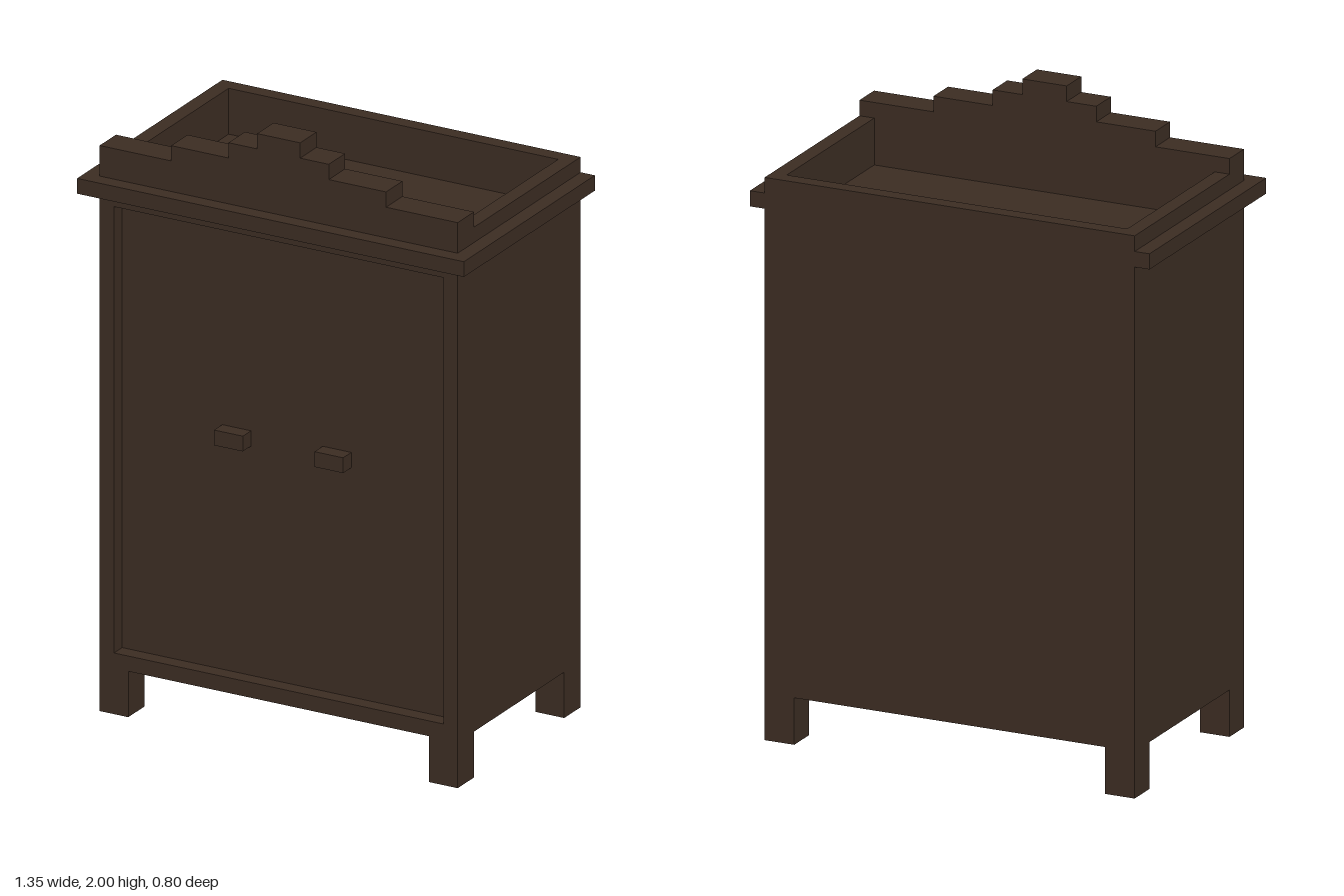
import * as THREE from 'three';

export function createModel() {
  const model = new THREE.Group();
  model.name = 'wardrobe';
  const wood = new THREE.MeshStandardMaterial({ color: 0x3b2c22 });
  wood.name = 'dark wood';

  function add(name, geometry) {
    const mesh = new THREE.Mesh(geometry, wood);
    mesh.name = name;
    model.add(mesh);
    return mesh;
  }

  // Box given by its lower and upper limits on each axis
  function box(name, x0, x1, y0, y1, z0, z1) {
    const mesh = add(name, new THREE.BoxGeometry(x1 - x0, y1 - y0, z1 - z0));
    mesh.position.set((x0 + x1) / 2, (y0 + y1) / 2, (z0 + z1) / 2);
  }

  const W = 0.625, BACK = -0.4, FRONT = 0.35, BASE = 0.15, T = 0.05;

  // Front outline, rising in steps to the crest
  function frontShape() {
    const steps = [[W, 1.85], [0.375, 1.9], [0.175, 1.95], [0.075, 2]];
    const right = [[W, BASE]];
    steps.forEach(([x, y], i) => {
      if (i > 0) right.push([x, steps[i - 1][1]]);
      right.push([x, y]);
    });
    const left = right.map(([x, y]) => [-x, y]).reverse();
    return new THREE.Shape([...right, ...left].map(([x, y]) => new THREE.Vector2(x, y)));
  }

  // Cabinet body and the low walls around its sunken top
  box('cabinetBody', -W, W, BASE, 1.65, BACK, 0.25);
  box('backRim', -W, W, 1.65, 1.8, BACK, BACK + T);

  // Door panel with crest, and the raised frame in front of it
  const extrude = (shape) => new THREE.ExtrudeGeometry(shape, { depth: T, bevelEnabled: false });
  add('doorPanel', extrude(frontShape())).position.z = 0.25;
  const frame = frontShape();
  frame.holes.push(new THREE.Path([
    [-0.575, 0.2], [-0.575, 1.66], [0.575, 1.66], [0.575, 0.2],
  ].map(([x, y]) => new THREE.Vector2(x, y))));
  add('frontFrame', extrude(frame)).position.z = 0.3;

  // Cornice front strip
  box('frontCornice', -0.675, 0.675, 1.7, 1.75, FRONT, 0.4);

  // Mirrored parts
  for (const [side, s] of [['left', 1], ['right', -1]]) {
    const pair = (name, a, b, ...rest) =>
      box(side + name, Math.min(s * a, s * b), Math.max(s * a, s * b), ...rest);
    pair('Rim', W - T, W, 1.65, 1.8, BACK + T, 0.25);
    pair('Cornice', W, 0.675, 1.7, 1.75, BACK, FRONT);
    pair('Handle', 0.125, 0.225, 0.95, 1, 0.3, FRONT);
    pair('FrontLeg', 0.525, W, 0, BASE, 0.25, FRONT);
    pair('BackLeg', 0.525, W, 0, BASE, BACK, -0.3);
  }

  return model;
}
